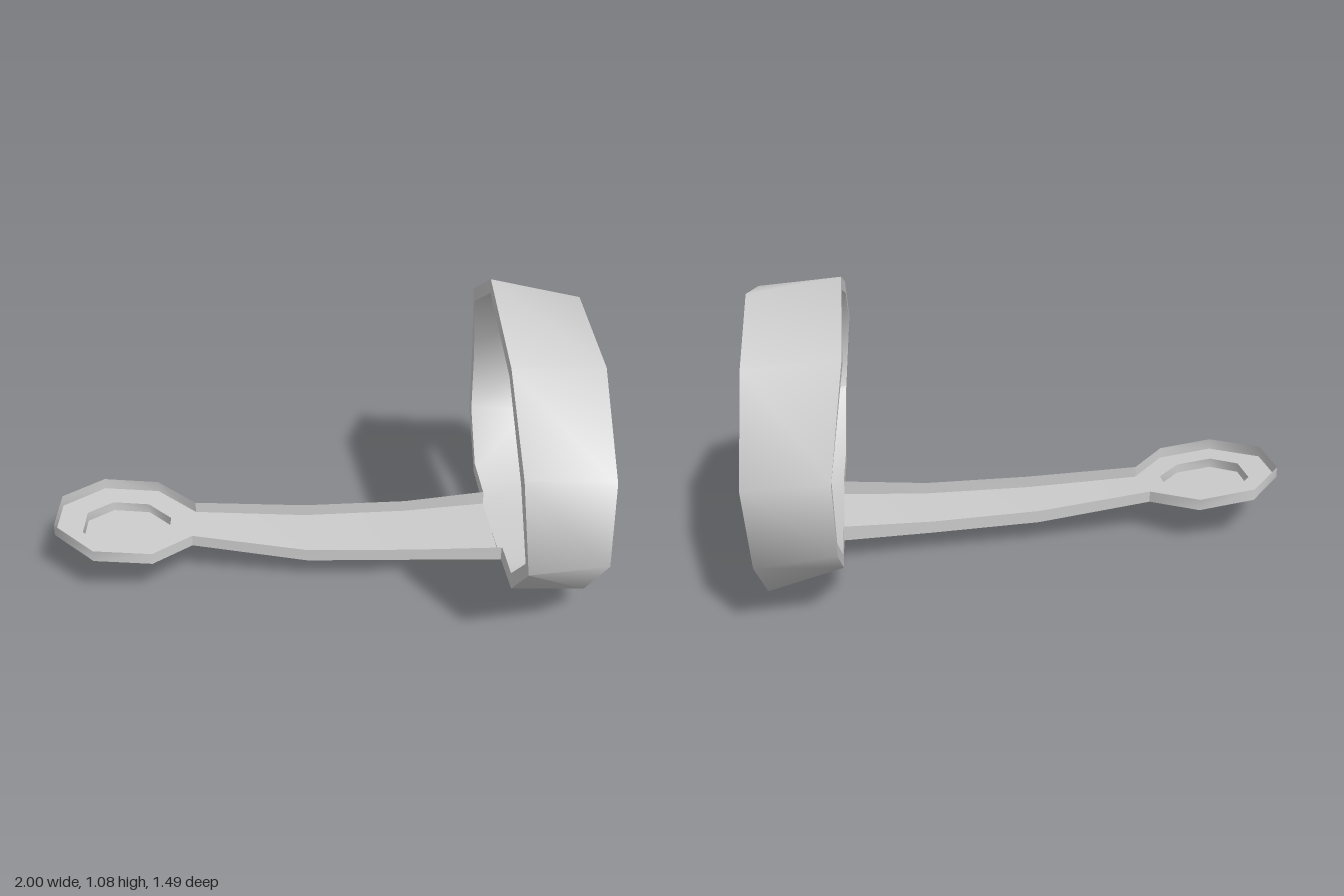
import * as THREE from 'three';
import { toCreasedNormals } from 'three/addons/utils/BufferGeometryUtils.js';

// Everything is a thin open shell, so both sides show.
const material = new THREE.MeshStandardMaterial({ color: 0xcccccc, side: THREE.DoubleSide });

// Skin a row of open cross-sections (arrays of [x, y, z]). When closed, the last
// section joins the first, leaving out the strip with number gap.
function loft(sections, closed, gap) {
  const n = sections.length, m = sections[0].length, index = [];
  for (let i = 0; i < (closed ? n : n - 1); i++) {
    for (let j = 0; j < m - 1; j++) {
      if (i === n - 1 && j === gap) continue;
      const a = i * m + j, b = a + 1;
      const d = ((i + 1) % n) * m + j, c = d + 1;
      index.push(a, d, c, a, c, b);
    }
  }
  const g = new THREE.BufferGeometry();
  g.setAttribute('position', new THREE.Float32BufferAttribute(sections.flat(2), 3));
  g.setIndex(index);
  return toCreasedNormals(g, 1.0);
}

export function createModel() {
  const group = new THREE.Group();
  const add = (name, geometry) => {
    const mesh = new THREE.Mesh(geometry, material);
    mesh.name = name;
    group.add(mesh);
  };

  // Ring band with inward flanges, open at the back where the arm joins:
  // [near x, far x, near outer z y, far outer z y, far inner z y, near inner z y]
  const band = [
    [0.965, 0.7, 0.2, 0.03, 0.225, 0.09, 0.23, 0.148, 0.2, 0.085],
    [0.97, 0.69, 0.435, 0.09, 0.48, 0.13, 0.455, 0.18, 0.41, 0.14],
    [0.97, 0.68, 0.69, 0.36, 0.745, 0.37, 0.69, 0.38, 0.64, 0.37],
    [0.975, 0.65, 0.64, 0.655, 0.69, 0.7, 0.645, 0.665, 0.595, 0.62],
    [0.985, 0.655, 0.33, 0.935, 0.335, 0.94, 0.315, 0.9, 0.305, 0.89],
    [0.99, 0.66, -0.12, 1.02, -0.16, 1.08, -0.15, 1.03, -0.12, 0.97],
    [0.99, 0.665, -0.5, 0.87, -0.53, 0.905, -0.49, 0.865, -0.46, 0.83],
    [1.0, 0.715, -0.72, 0.54, -0.745, 0.555, -0.69, 0.545, -0.66, 0.53],
    [0.98, 0.71, -0.7, 0.26, -0.69, 0.28, -0.64, 0.3, -0.64, 0.28],
    [0.965, 0.7, -0.435, 0.03, -0.43, 0.1, -0.42, 0.145, -0.42, 0.085],
    [0.96, 0.7, -0.2, 0.0, -0.188, 0.083, -0.188, 0.135, -0.19, 0.06],
  ];
  add('ringBand', loft(band.map(([n, f, ...p]) => [
    [n, p[7], p[6]], [n, p[1], p[0]], [f, p[3], p[2]], [f, p[5], p[4]],
  ]), true, 2));

  // Trough-shaped arm: [x, wall top y, floor y, back z, front z]
  const arm = [
    [-0.48, 0.17, 0.127, -0.1, 0.145],
    [-0.04, 0.13, 0.083, -0.13, 0.2],
    [0.37, 0.125, 0.079, -0.155, 0.205],
    [0.7, 0.142, 0.086, -0.188, 0.228],
  ];
  add('arm', loft(arm.map(([x, top, floor, back, front]) => [
    [x, top, back], [x, floor, back], [x, floor, front], [x, top, front],
  ]), false));

  // Octagonal dish with a sunken cup, its rim open towards the arm:
  // [rim x z, cup x z]
  const octagon = [
    [-0.48, 0.145, -0.575, 0.11], [-0.62, 0.29, -0.67, 0.195],
    [-0.835, 0.3, -0.81, 0.2], [-1, 0.145, -0.9, 0.11],
    [-1, -0.07, -0.9, -0.03], [-0.855, -0.23, -0.81, -0.125],
    [-0.64, -0.24, -0.67, -0.13], [-0.48, -0.1, -0.575, -0.04],
  ];
  const at = (x, z, drop) => [x, 0.17 - 0.115 * (x + 0.48) - drop, z];
  add('endDish', loft(octagon.map(([x, z, cx, cz]) => [
    at(x, z, 0), at(x, z, 0.043), at(cx, cz, 0.043), at(cx, cz, 0.08), at(-0.74, 0.035, 0.08),
  ]), true, 0));

  return group;
}
